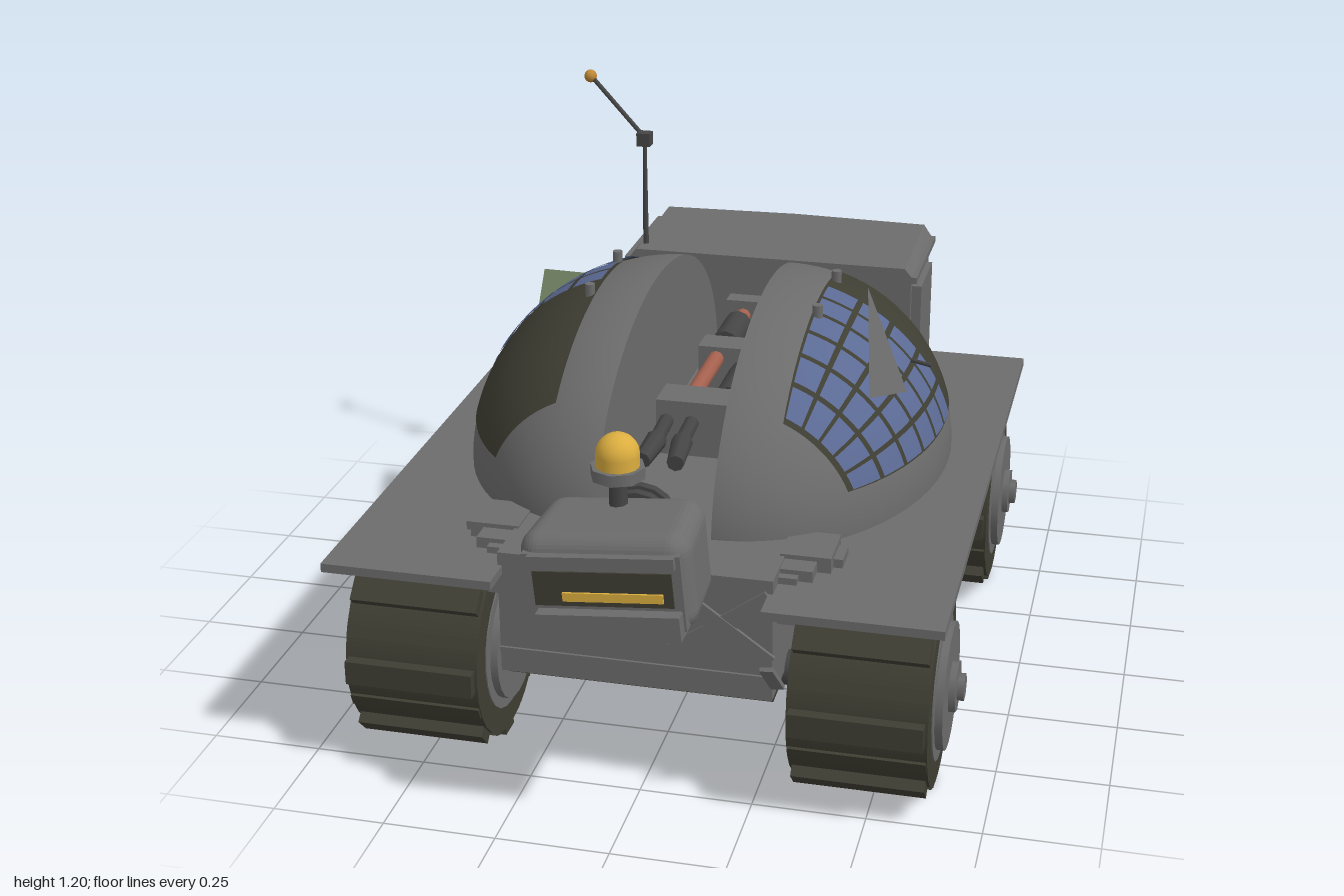
import * as THREE from 'three';
import { RoundedBoxGeometry } from 'three/addons/geometries/RoundedBoxGeometry.js';

const mat = (name, color, side = THREE.FrontSide) => {
  const m = new THREE.MeshStandardMaterial({ color, side });
  m.name = name;
  return m;
};

export function createModel() {
  const grey = mat('hull grey', 0x6c6c6c, THREE.DoubleSide);
  const olive = mat('dark olive', 0x3f3e33, THREE.DoubleSide);
  const dark = mat('dark metal', 0x454545);
  const blue = mat('solar blue', 0x5b6a94, THREE.DoubleSide);
  const yellow = mat('beacon yellow', 0xdcae40);
  const salmon = mat('piston red', 0xa5614e);
  const green = mat('flap green', 0x66765a, THREE.DoubleSide);
  const amber = mat('amber', 0xc08a35);

  const root = new THREE.Group();
  root.name = 'rover';
  const add = (name, geo, m, x = 0, y = 0, z = 0, parent = root) => {
    const mesh = new THREE.Mesh(geo, m);
    mesh.name = name;
    mesh.position.set(x, y, z);
    parent.add(mesh);
    return mesh;
  };
  // Box given by its extents
  const box = (name, m, x0, x1, y0, y1, z0, z1, parent = root) =>
    add(name, new THREE.BoxGeometry(x1 - x0, y1 - y0, z1 - z0), m,
      (x0 + x1) / 2, (y0 + y1) / 2, (z0 + z1) / 2, parent);
  // Rod between two points
  const rod = (name, m, a, b, r, sides = 8, r2 = r) => {
    const p = new THREE.Vector3(...a), q = new THREE.Vector3(...b), d = q.clone().sub(p);
    const mesh = add(name, new THREE.CylinderGeometry(r2, r, d.length(), sides), m);
    mesh.position.copy(p).add(q).multiplyScalar(0.5);
    mesh.quaternion.setFromUnitVectors(new THREE.Vector3(0, 1, 0), d.normalize());
    return mesh;
  };
  // Flat sheet through a fan of points
  const sheet = (name, m, pts) => {
    const g = new THREE.BufferGeometry().setFromPoints(pts.map(p => new THREE.Vector3(...p)));
    const idx = [];
    for (let i = 1; i < pts.length - 1; i++) idx.push(0, i, i + 1);
    g.setIndex(idx);
    g.computeVertexNormals();
    return add(name, g, m);
  };

  // Chassis and decks
  box('chassis', grey, -0.31, 0.29, 0.26, 0.545, -0.64, 0.74);
  box('chassisShoulder', grey, -0.35, 0.33, 0.42, 0.53, -0.64, 0.69);
  box('bottomPlate', olive, -0.305, 0.285, 0.235, 0.262, -0.86, 0.7);
  box('rightDeck', grey, -0.68, -0.3, 0.495, 0.515, -0.71, 0.82);
  box('leftDeck', grey, 0.28, 0.66, 0.495, 0.515, -0.71, 0.82);
  box('frontSill', grey, -0.31, 0.29, 0.31, 0.32, 0.735, 0.746);
  for (const s of [-1, 1]) {
    const c = -0.01;
    for (const [a, b, top, z0, z1] of [[0.29, 0.42, 0.535, 0.52, 0.59], [0.29, 0.4, 0.55, 0.5, 0.62],
      [0.26, 0.37, 0.54, 0.6, 0.67], [0.3, 0.41, 0.535, -0.64, -0.47]])
      box('deckStep', grey, c + Math.min(s * a, s * b), c + Math.max(s * a, s * b), 0.51, top, z0, z1);
    const tape = box('frontCross', grey, -0.13, 0.13, -0.02, 0.02, -0.004, 0.004);
    tape.position.set(0.18, 0.43, s > 0 ? 0.745 : 0.748);
    tape.rotation.z = s * 0.62;
  }
  const bracket = box('looseBracket', grey, -0.015, 0.015, -0.04, 0.04, -0.005, 0.005);
  bracket.position.set(0.3, 0.345, 0.79);
  bracket.rotation.set(0.6, 0, 0.2);

  // Wheels, hubs all facing the same way
  const disc = (r, x0, x1, n) => new THREE.CylinderGeometry(r, r, x1 - x0, n)
    .rotateZ(Math.PI / 2).translate((x0 + x1) / 2, 0, 0);
  for (const [wx, wz] of [[-0.5, 0.57], [0.48, 0.57], [-0.5, -0.45], [0.48, -0.45]]) {
    const wheel = new THREE.Group();
    wheel.name = 'wheel';
    wheel.position.set(wx, 0.25, wz);
    root.add(wheel);
    add('tyre', disc(0.222, -0.15, 0.15, 28), olive, 0, 0, 0, wheel);
    add('rim', disc(0.165, 0.14, 0.153, 24), grey, 0, 0, 0, wheel);
    add('hub', disc(0.14, 0.15, 0.17, 24), grey, 0, 0, 0, wheel);
    add('hubPlate', disc(0.058, 0.17, 0.185, 8), grey, 0, 0, 0, wheel);
    add('hubCap', disc(0.03, 0.185, 0.2, 6), grey, 0, 0, 0, wheel);
    for (let i = 0; i < 16; i++) {
      const big = i % 2 === 0;
      const lug = add('lug', new THREE.BoxGeometry(big ? 0.288 : 0.296, big ? 0.03 : 0.012, big ? 0.055 : 0.03)
        .translate(0, big ? 0.23 : 0.221, 0), olive, 0, 0, 0, wheel);
      lug.rotation.x = (i / 16) * Math.PI * 2;
    }
  }
  for (const z of [0.57, -0.45]) rod('axle', dark, [-0.4, 0.25, z], [0.4, 0.25, z], 0.04, 10);

  // Split dome: each half is a quarter ellipsoid with a flat inner wall
  const RX = 0.435, RY = 0.41, RZ = 0.59;
  const patch = (z0, z1, t0, t1, k, nu, nv) => {
    const g = new THREE.PlaneGeometry(1, 1, nu, nv), p = g.attributes.position;
    for (let i = 0; i < p.count; i++) {
      const z = THREE.MathUtils.lerp(z0, z1, 0.5 - p.getX(i));
      const s = Math.sqrt(1 - (z / RZ) ** 2);
      const a = THREE.MathUtils.lerp(Math.asin(0.1 / (RY * s)), Math.acos(0.125 / (RX * s)),
        THREE.MathUtils.lerp(t0, t1, p.getY(i) + 0.5));
      p.setXYZ(i, Math.cos(a) * RX * s * k, Math.sin(a) * RY * s * k, z * k);
    }
    g.computeVertexNormals();
    return g;
  };
  for (const [x, turn, name] of [[0.12, 0, 'leftDome'], [-0.14, Math.PI, 'rightDome']]) {
    const half = new THREE.Group();
    half.name = name;
    half.position.set(x, 0.52, -0.01);
    half.rotation.y = turn;
    root.add(half);
    add('domeShell', new THREE.SphereGeometry(1, 32, 20, Math.PI / 2, Math.PI, 0, Math.PI / 2)
      .scale(RX, RY, RZ), grey, 0, 0, 0, half);
    add('domeInnerWall', new THREE.CircleGeometry(1, 40, 0, Math.PI).rotateY(-Math.PI / 2)
      .scale(1, RY, RZ), grey, 0, 0, 0, half);
    add('panelBacking', patch(-0.44, 0.44, 0, 1, 1.008, 28, 12), olive, 0, 0, 0, half);
    const cols = 6, rows = 5, w = 0.475 / cols;
    for (let c = 0; c < cols; c++) for (let r = 0; r < rows; r++)
      add('solarCell', patch(-0.04 + c * w + 0.006, -0.04 + (c + 1) * w - 0.006,
        (r + 0.08) / rows, (r + 0.92) / rows, 1.016, 3, 3), blue, 0, 0, 0, half);
    for (const z of [-0.11, 0.13])
      add('domeStud', new THREE.CylinderGeometry(0.012, 0.012, 0.03, 8), grey, 0.14, 0.395, z, half);
  }
  sheet('greenFlap', green, [[-0.57, 0.75, -0.465], [-0.34, 0.74, -0.48], [-0.36, 0.74, -0.4], [-0.51, 0.7, -0.19]]);
  sheet('greyFin', grey, [[0.345, 0.915, -0.06], [0.41, 0.785, 0.29], [0.49, 0.8, 0.27]]);
  rod('sideSpike', dark, [0.44, 0.78, 0.02], [0.515, 0.778, 0.05], 0.005, 6);

  // Rear cargo box with a tapered lid
  box('cargoBox', grey, -0.385, 0.365, 0.265, 0.735, -0.975, -0.64);
  box('cargoSidePanel', grey, -0.41, 0.39, 0.3, 0.71, -0.86, -0.66);
  box('cargoRim', grey, -0.4, 0.38, 0.725, 0.742, -0.985, -0.635);
  const lid = new THREE.BoxGeometry(0.77, 0.04, 0.35, 2, 1, 1), lp = lid.attributes.position;
  for (let i = 0; i < lp.count; i++) {
    if (lp.getY(i) > 0) lp.setX(i, lp.getX(i) * 0.93);
    if (lp.getZ(i) < 0 && Math.abs(lp.getX(i)) < 0.01) lp.setZ(i, -0.19);
    if (lp.getY(i) > 0 && lp.getZ(i) > 0) lp.setY(i, 0.012);
  }
  add('cargoLid', lid.toNonIndexed(), grey, -0.01, 0.752, -0.81).geometry.computeVertexNormals();

  // Antenna
  rod('antennaMast', dark, [-0.355, 0.74, -0.685], [-0.355, 1.05, -0.685], 0.008, 8, 0.005);
  box('antennaJoint', dark, -0.373, -0.337, 1.035, 1.07, -0.7, -0.667);
  rod('antennaArm', dark, [-0.355, 1.055, -0.685], [-0.52, 1.19, -0.765], 0.006);
  add('antennaTip', new THREE.SphereGeometry(0.017, 12, 8), amber, -0.522, 1.19, -0.765);

  // Arm mechanism lying in the slot
  box('armRearMount', grey, -0.1, 0.09, 0.545, 0.68, -0.58, -0.53);
  box('armMidMount', grey, -0.1, 0.01, 0.545, 0.67, -0.3, -0.22);
  box('armFrontMount', grey, -0.11, 0.09, 0.545, 0.68, 0.06, 0.16);
  rod('pistonA', salmon, [-0.055, 0.64, -0.54], [-0.055, 0.64, 0.05], 0.02, 10);
  rod('pistonB', salmon, [0.035, 0.64, -0.54], [0.035, 0.64, 0.06], 0.025, 10);
  rod('sleeveA', dark, [-0.055, 0.64, -0.47], [-0.055, 0.64, -0.32], 0.035, 10);
  rod('sleeveB', dark, [0.035, 0.64, -0.13], [0.035, 0.64, 0.04], 0.037, 10);
  for (const x of [-0.085, -0.025]) {
    rod('prong', dark, [x, 0.63, 0.15], [x, 0.62, 0.27], 0.018);
    rod('prongTip', dark, [x, 0.62, 0.25], [x + (x + 0.055) * 0.3, 0.61, 0.35], 0.025, 8, 0.02);
  }

  // Neck, tilted head and beacon
  for (const z of [0.66, 0.695]) rod('neckRing', dark, [-0.012, 0.62, z - 0.01], [-0.012, 0.62, z + 0.01], 0.08, 16);
  rod('neck', dark, [-0.012, 0.62, 0.63], [-0.012, 0.62, 0.76], 0.055, 14);
  const head = new THREE.Group();
  head.name = 'head';
  head.position.set(-0.01, 0.607, 0.845);
  head.rotation.z = 0.09;
  root.add(head);
  const skull = new RoundedBoxGeometry(0.365, 0.215, 0.235, 4, 0.045), sp = skull.attributes.position;
  for (let i = 0; i < sp.count; i++) {
    const z = sp.getZ(i);
    sp.setX(i, sp.getX(i) * (z < 0 ? 1 + z * 0.9 : 1 - z * 0.25));
  }
  skull.computeVertexNormals();
  add('skull', skull, grey, 0, 0, 0, head);
  box('faceFrame', grey, -0.165, 0.165, -0.09, 0.075, 0.09, 0.122, head);
  box('brow', grey, -0.15, 0.155, 0.05, 0.075, 0.1, 0.135, head);
  box('chin', grey, -0.14, 0.16, -0.1, -0.045, 0.09, 0.152, head);
  box('visor', olive, -0.145, 0.145, -0.037, 0.038, 0.118, 0.126, head);
  box('eyeStrip', yellow, -0.085, 0.125, -0.025, -0.006, 0.124, 0.131, head);
  rod('beaconPost', dark, [-0.025, 0.7, 0.79], [-0.025, 0.78, 0.79], 0.02);
  rod('beaconBase', grey, [-0.025, 0.775, 0.79], [-0.025, 0.8, 0.79], 0.058, 8);
  rod('beaconBody', yellow, [-0.025, 0.8, 0.79], [-0.025, 0.825, 0.79], 0.046, 16);
  add('beaconDome', new THREE.SphereGeometry(0.046, 16, 8, 0, Math.PI * 2, 0, Math.PI / 2), yellow, -0.025, 0.825, 0.79);

  return root;
}
